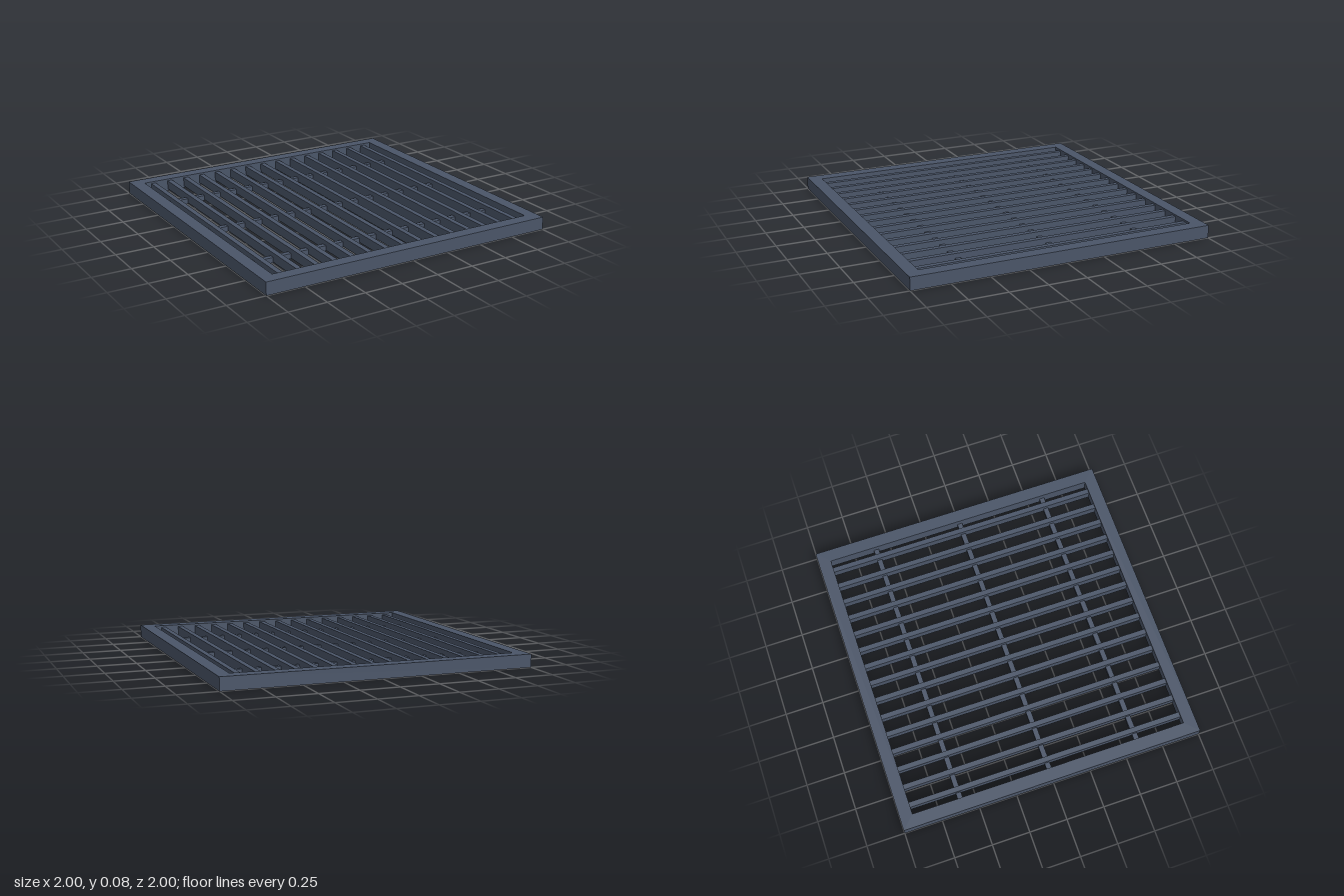
import * as THREE from 'three';

export function createModel() {
  const model = new THREE.Group();
  model.name = 'floorGrate';
  const steel = new THREE.MeshStandardMaterial({ color: 0x4a5568 });
  steel.name = 'slateSteel';

  const height = 0.084, inner = 0.917;

  // Square outline, used for the rim and its opening
  const square = (target, r) => {
    target.moveTo(-r, -r);
    target.lineTo(r, -r);
    target.lineTo(r, r);
    target.lineTo(-r, r);
    target.closePath();
    return target;
  };

  const addBox = (name, size, position) => {
    const mesh = new THREE.Mesh(new THREE.BoxGeometry(...size), steel);
    mesh.name = name;
    mesh.position.set(...position);
    model.add(mesh);
  };

  // Outer frame: one square ring
  const ring = square(new THREE.Shape(), 1);
  ring.holes.push(square(new THREE.Path(), inner));
  const frameGeometry = new THREE.ExtrudeGeometry(ring, { depth: height, bevelEnabled: false });
  frameGeometry.rotateX(-Math.PI / 2);
  const frame = new THREE.Mesh(frameGeometry, steel);
  frame.name = 'frame';
  model.add(frame);

  // Fifteen upright bars running front to back
  for (let i = -7; i <= 7; i++) {
    addBox('bar', [0.034, 0.06, inner * 2], [i * 0.1218, height / 2, 0]);
  }

  // Three cross bars tying them together underneath
  for (const z of [-0.6, 0, 0.6]) {
    addBox('crossBar', [inner * 2, 0.034, 0.034], [0, 0.025, z]);
  }

  return model;
}
